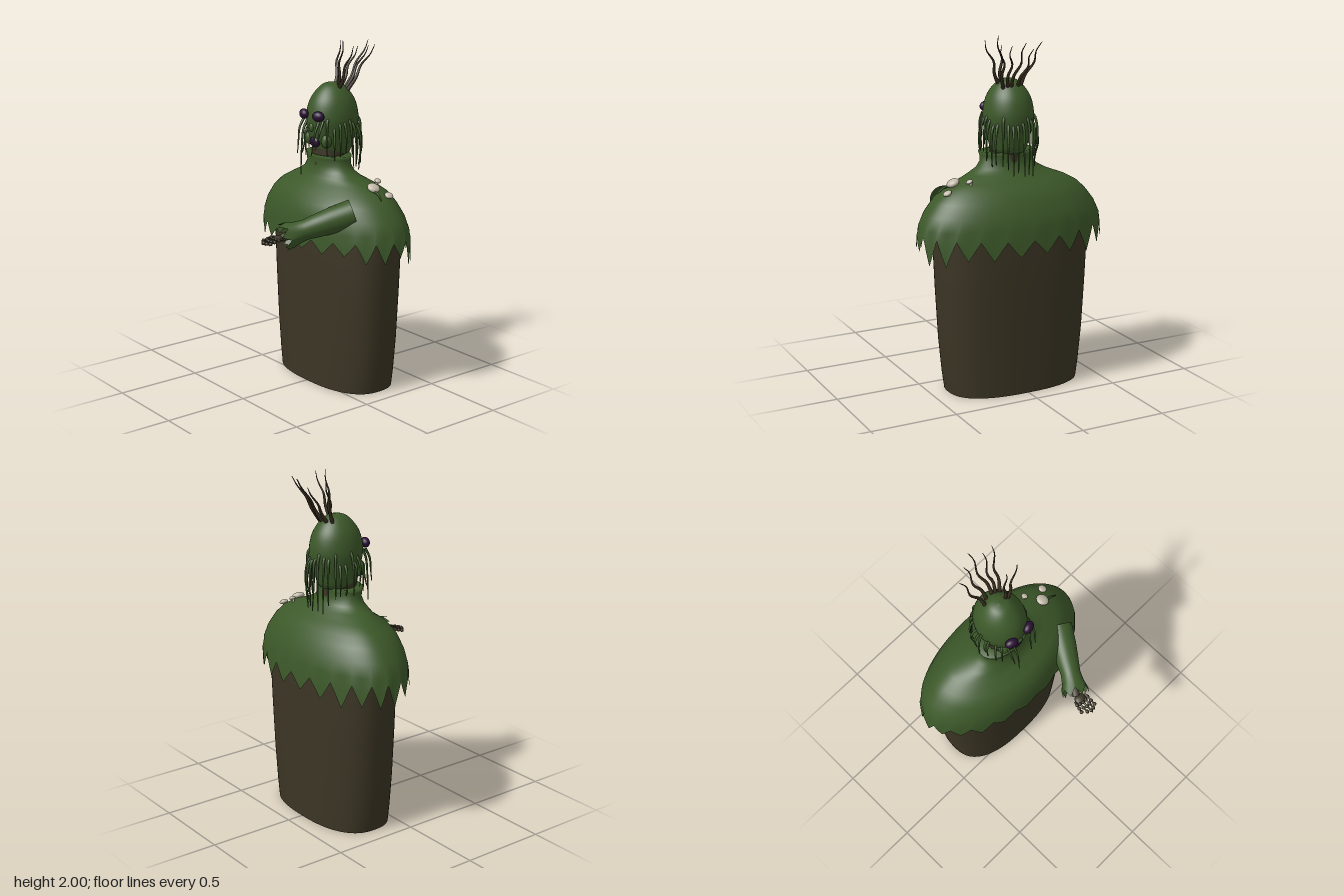
import * as THREE from 'three';

const paint = (name, color, side = THREE.FrontSide) => {
  const m = new THREE.MeshStandardMaterial({ color, side });
  m.name = name;
  return m;
};
const V = (x, y, z) => new THREE.Vector3(x, y, z);

// Skin of closed rings, bottom to top; at(row, angle) gives each point
function loft(rows, n, at) {
  const pos = [], idx = [];
  for (let i = 0; i < rows; i++) {
    for (let j = 0; j < n; j++) {
      const p = at(i, (j / n) * Math.PI * 2);
      pos.push(p.x, p.y, p.z);
      if (i === rows - 1) continue;
      const a = i * n + j, b = i * n + ((j + 1) % n);
      idx.push(a, b, b + n, a, b + n, a + n);
    }
  }
  const g = new THREE.BufferGeometry();
  g.setAttribute('position', new THREE.Float32BufferAttribute(pos, 3));
  g.setIndex(idx);
  g.computeVertexNormals();
  return g;
}

// Tube along points, narrowing towards its end
function strand(points, radius, tip = 0.15) {
  const curve = new THREE.CatmullRomCurve3(points), seg = 14, sides = 6;
  const g = new THREE.TubeGeometry(curve, seg, radius, sides);
  const p = g.attributes.position, v = V(0, 0, 0);
  for (let i = 0; i <= seg; i++) {
    const c = curve.getPointAt(i / seg), k = 1 - (1 - tip) * (i / seg);
    for (let j = 0; j <= sides; j++) {
      const q = i * (sides + 1) + j;
      v.fromBufferAttribute(p, q).sub(c).multiplyScalar(k).add(c);
      p.setXYZ(q, v.x, v.y, v.z);
    }
  }
  return g;
}

// Triangle wave: 0 at the valleys, 1 at the points
const tooth = (a, count) => 1 - Math.abs((((a / (Math.PI * 2)) * count) % 1) * 2 - 1);

export function createModel() {
  const model = new THREE.Group();
  const moss = paint('moss green', 0x3c5829);
  const cloth = paint('moss cloth', 0x3c5829, THREE.DoubleSide);
  const bark = paint('bark brown', 0x3b3524, THREE.DoubleSide);
  const root = paint('root brown', 0x352c1e);
  const plum = paint('dark plum', 0x2a1034);
  const pale = paint('pale mushroom', 0xc4bcaa);
  const add = (name, geo, mat, parent = model) => {
    const m = new THREE.Mesh(geo, mat);
    m.name = name;
    parent.add(m);
    return m;
  };
  const ball = (name, mat, p, sx, sy, sz, parent = model) => {
    const m = add(name, new THREE.SphereGeometry(1, 20, 14), mat, parent);
    m.position.copy(p);
    m.scale.set(sx, sy, sz);
    return m;
  };
  let seed = 7;
  const rnd = () => (seed = (seed * 16807) % 2147483647) / 2147483647;

  // Hollow lower robe: [y, half width, half depth]
  const robe = [[0, 0.4, 0.222], [0.1, 0.415, 0.224], [0.3, 0.435, 0.228],
    [0.6, 0.452, 0.233], [0.9, 0.465, 0.237], [1.05, 0.44, 0.22]];
  const sq = (c) => Math.sign(c) * Math.abs(c) ** 0.8;
  add('robe', loft(robe.length, 72, (i, a) =>
    V(sq(Math.sin(a)) * robe[i][1], robe[i][0], -0.182 + sq(Math.cos(a)) * robe[i][2])), bark);

  // Cape with ragged hem: [y, half width, front z, back z]
  const cape = [[0.9, 0.565, 0.145, -0.465], [0.97, 0.553, 0.143, -0.457], [1.04, 0.52, 0.135, -0.437],
    [1.11, 0.465, 0.115, -0.403], [1.16, 0.41, 0.075, -0.365], [1.2, 0.335, 0.015, -0.31],
    [1.235, 0.24, -0.008, -0.262], [1.265, 0.185, -0.02, -0.235], [1.3, 0.16, -0.028, -0.222],
    [1.335, 0.161, -0.026, -0.22], [1.357, 0.168, -0.02, -0.222], [1.35, 0.1, -0.06, -0.19]];
  add('cape', loft(cape.length, 176, (i, a) => {
    const [y, w, f, b] = cape[i], c = Math.cos(a), s = Math.abs(Math.sin(a));
    const mid = i < 6 ? -0.18 : (f + b) / 2;
    const depth = (c < -0.2 ? 0.08 : 0.045) + 0.08 * s * (0.8 + 0.3 * Math.sin(a * 7));
    const hem = i ? y : 0.905 + 0.025 * s - depth * tooth(a, 22);
    return V(Math.sin(a) * w, hem, mid + c * (c > 0 ? f - mid : mid - b));
  }), cloth);

  // Egg-shaped head
  const profile = new THREE.SplineCurve([[0, 1.335], [0.085, 1.35], [0.113, 1.42], [0.134, 1.5],
    [0.14, 1.57], [0.124, 1.65], [0.09, 1.71], [0.048, 1.75], [0, 1.762]]
    .map(([x, y]) => new THREE.Vector2(x, y))).getPoints(32);
  profile.forEach((p) => { p.x = Math.max(p.x, 0); });
  const head = add('head', new THREE.LatheGeometry(profile, 40), moss);
  head.scale.z = 1.11;
  head.position.z = -0.147;
  const neck = add('neck', new THREE.CylinderGeometry(0.095, 0.1, 0.16, 24), bark);
  neck.position.set(0, 1.33, -0.125);

  // Face
  for (const s of [-1, 1]) {
    ball('eye', plum, V(s * 0.064, 1.585, 0.006), 0.038, 0.029, 0.026).rotation.y = s * 0.3;
    ball('cheek', moss, V(s * 0.075, 1.44, -0.045), 0.03, 0.04, 0.03);
  }
  ball('mouth', plum, V(0, 1.43, -0.022), 0.04, 0.032, 0.022);
  ball('nose', moss, V(0, 1.515, 0.005), 0.018, 0.025, 0.012);

  // Hanging moss around the sides and back of the head
  const hair = new THREE.Group();
  hair.name = 'hangingMoss';
  model.add(hair);
  for (let i = 0; i < 24; i++) {
    const a = 0.8 + (i / 23) * (Math.PI * 2 - 1.6) + (rnd() - 0.5) * 0.1;
    const top = 1.48 + rnd() * 0.1, back = Math.max(0, -Math.cos(a));
    const end = 1.38 - rnd() * 0.06 - back * 0.11;
    const at = (r, y) => V(Math.sin(a) * r, y, -0.147 + Math.cos(a) * r * 1.08);
    add('mossStrand', strand([at(0.12, top + 0.01), at(0.146, top - 0.02),
      at(0.15 + rnd() * 0.015, (top + end) / 2), at(0.145 + rnd() * 0.02, end)], 0.009, 0.3), moss, hair);
  }
  for (const [x, end] of [[-0.085, 1.36], [-0.05, 1.24], [0.055, 1.36], [0.09, 1.4]]) {
    add('faceStrand', strand([V(x, 1.56, -0.01), V(x * 1.05, 1.5, 0.02),
      V(x * 0.95, 1.42, 0.035), V(x * 0.9, end, 0.045)], 0.008, 0.3), moss, hair);
  }

  // Roots growing from the crown: base x, z, then tip x, y, z
  const crown = new THREE.Group();
  crown.name = 'crownRoots';
  model.add(crown);
  const roots = [[-0.045, -0.2, -0.125, 1.97, -0.305], [-0.02, -0.215, -0.04, 1.94, -0.365],
    [0.02, -0.215, 0.02, 1.98, -0.393], [0.035, -0.21, 0.08, 1.96, -0.345],
    [0.06, -0.205, 0.14, 1.97, -0.34], [0.05, -0.145, 0.155, 1.975, -0.17], [0.04, -0.15, 0.07, 1.998, -0.165]];
  for (const [bx, bz, tx, ty, tz] of roots) {
    const along = (t, k) => V(bx + (tx - bx) * t + k, 1.71 + (ty - 1.71) * t, bz + (tz - bz) * t);
    add('root', strand([along(0, 0), along(0.3, 0.008), along(0.55, -0.012),
      along(0.8, 0.01), along(1, 0)], 0.012, 0.12), root, crown);
  }

  // Reaching arm: sleeve with ragged cuff, along local +y
  const arm = new THREE.Group();
  arm.name = 'leftArm';
  const from = V(0.34, 1.08, -0.02), to = V(0.147, 0.958, 0.31);
  arm.position.copy(from);
  arm.quaternion.setFromUnitVectors(V(0, 1, 0), to.clone().sub(from).normalize());
  model.add(arm);
  const sleeve = [[0, 0.078], [0.12, 0.074], [0.22, 0.064], [0.28, 0.057], [0.33, 0.063], [0.37, 0.077]];
  add('sleeve', loft(sleeve.length, 56, (i, a) => {
    const [y, r] = sleeve[i];
    return V(Math.sin(a) * r, i === 5 ? y + 0.045 * tooth(a, 7) : y, Math.cos(a) * r);
  }), cloth, arm);
  const wrist = add('forearm', new THREE.CylinderGeometry(0.022, 0.03, 0.18, 12), bark, arm);
  wrist.position.y = 0.33;

  // Knobbly hand
  const hand = new THREE.Group();
  hand.name = 'leftHand';
  model.add(hand);
  ball('palm', bark, V(0.142, 0.955, 0.35), 0.034, 0.016, 0.03, hand);
  for (let f = 0; f < 5; f++) {
    const thumb = f === 4, x = thumb ? 0.105 : 0.117 + f * 0.021;
    const reach = thumb ? 0.42 : [0.443, 0.456, 0.452, 0.44][f];
    const a = V(x, 0.958, 0.345), b = V(thumb ? 0.09 : x, 0.938, reach);
    add('finger', strand([a, a.clone().lerp(b, 0.5).add(V(0, 0.008, 0)), b], 0.007, 0.5), bark, hand);
    for (let k = 1; k < 4; k++) {
      const p = a.clone().lerp(b, k / 3.4).add(V(0, 0.004, 0));
      ball('knuckle', bark, p, 0.011, 0.01, 0.011, hand);
    }
  }

  // Mushrooms on the left shoulder: x, y, z, radius
  for (const [x, y, z, r] of [[0.35, 1.205, -0.162, 0.037], [0.412, 1.165, -0.222, 0.025], [0.29, 1.222, -0.245, 0.019]]) {
    ball('mushroomCap', pale, V(x, y, z), r, r * 0.55, r).rotation.z = -0.45;
    const stem = add('mushroomStem', new THREE.CylinderGeometry(r * 0.35, r * 0.45, 0.06, 10), pale);
    stem.position.set(x - 0.01, y - 0.03, z);
  }
  add('shoulderVine', strand([V(0.36, 1.19, -0.15), V(0.4, 1.18, -0.15), V(0.44, 1.15, -0.145)], 0.008, 0.5), moss);
  return model;
}
